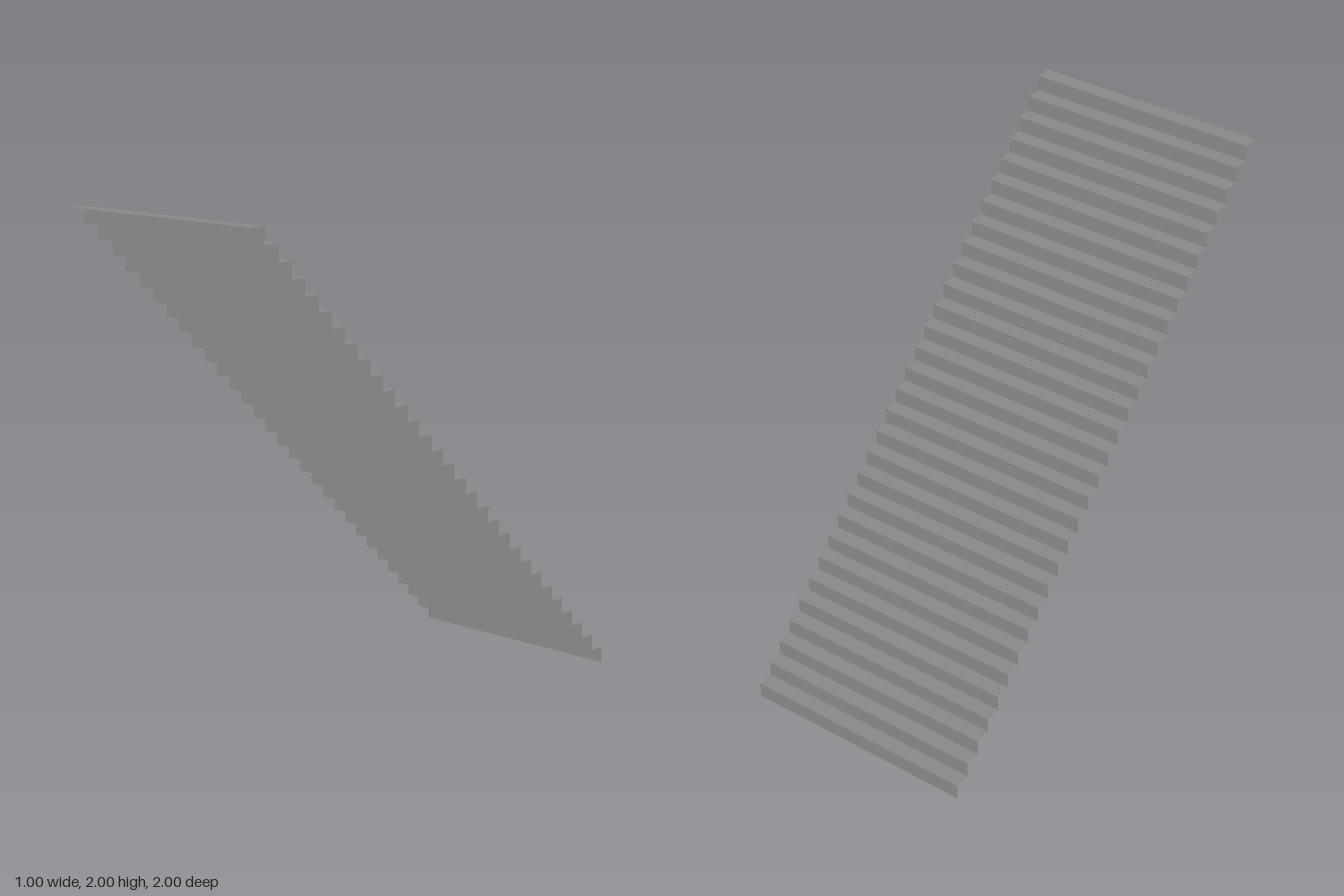
import * as THREE from 'three';
import { mergeGeometries } from 'three/addons/utils/BufferGeometryUtils.js';

const STEPS = 30;
const WIDTH = 1;
const SIZE = 2 / STEPS; // rise and run of each step

export function createModel() {
  const stairs = new THREE.Group();
  stairs.name = 'stairs';

  const concrete = new THREE.MeshStandardMaterial({ color: 0x888888, side: THREE.DoubleSide });
  concrete.name = 'concrete grey';

  // The flight is an open sheet: it climbs from the back (-z) to the front (+z)
  const risers = [];
  const treads = [];
  for (let i = 0; i < STEPS; i++) {
    const y = i * SIZE;
    const z = -1 + i * SIZE;
    risers.push(new THREE.PlaneGeometry(WIDTH, SIZE).rotateY(Math.PI).translate(0, y + SIZE / 2, z));
    treads.push(new THREE.PlaneGeometry(WIDTH, SIZE).rotateX(-Math.PI / 2).translate(0, y + SIZE, z + SIZE / 2));
  }

  const addPart = (name, geometries) => {
    const mesh = new THREE.Mesh(mergeGeometries(geometries), concrete);
    mesh.name = name;
    stairs.add(mesh);
  };
  addPart('risers', risers);
  addPart('treads', treads);

  return stairs;
}
